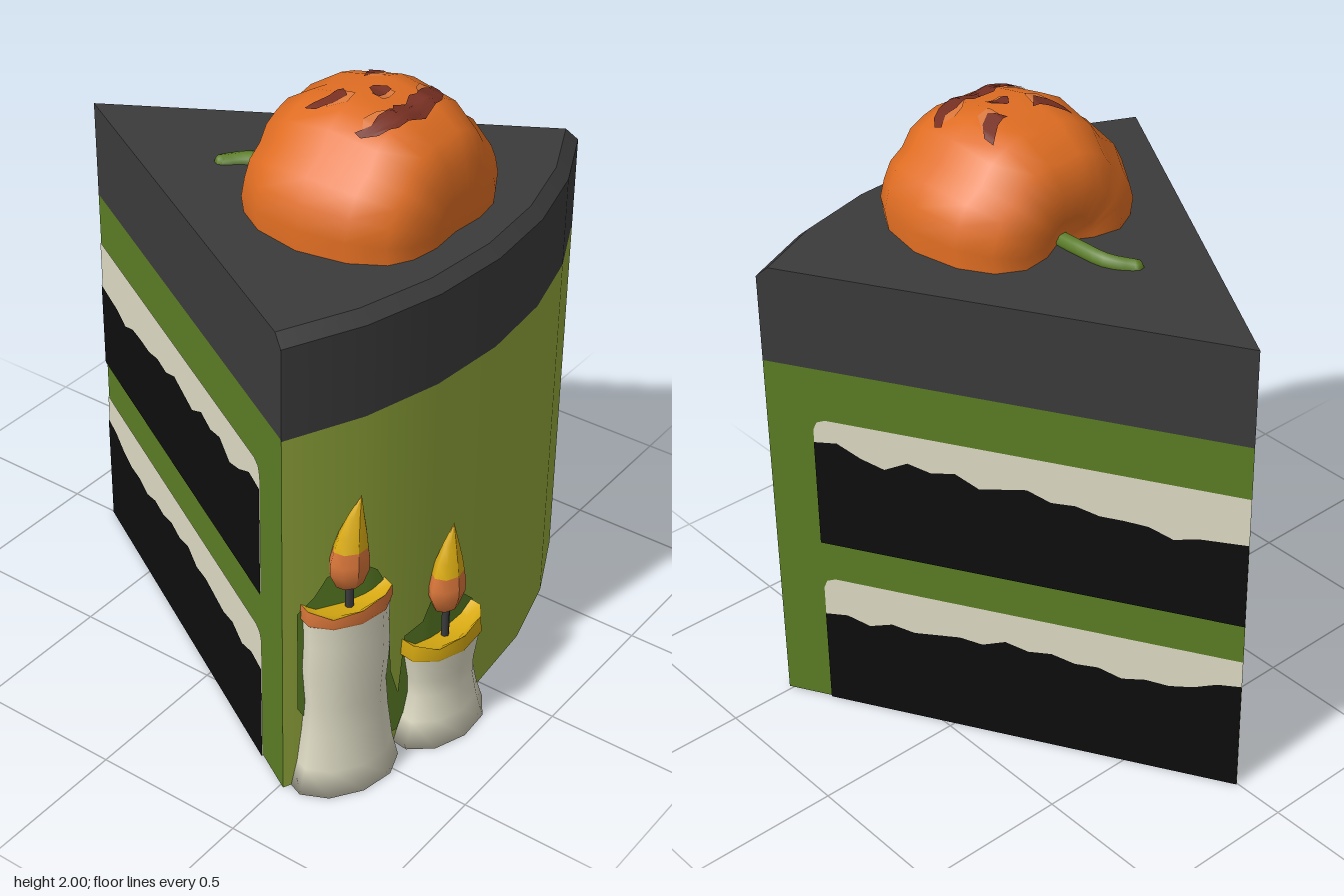
import * as THREE from 'three';
import { mergeVertices } from 'three/addons/utils/BufferGeometryUtils.js';

const mat = (name, color) => {
  const m = new THREE.MeshStandardMaterial({ color });
  m.name = name;
  return m;
};

export function createModel() {
  const M = {
    frosting: mat('charcoal frosting', 0x3b3b3b),
    lime: mat('lime icing', 0x90a63a),
    green: mat('leaf green', 0x5a7d24),
    cream: mat('cream', 0xdedbc4),
    black: mat('black sponge', 0x0d0d0d),
    orange: mat('pumpkin orange', 0xdf6d22),
    brown: mat('carved brown', 0x762f22),
    yellow: mat('flame yellow', 0xd9ab12),
    ember: mat('flame orange', 0xd9763a),
  };
  const root = new THREE.Group();
  root.name = 'cakeSlice';
  const add = (parent, name, geo, material, x = 0, y = 0, z = 0) => {
    const mesh = new THREE.Mesh(geo, material);
    mesh.name = name;
    mesh.position.set(x, y, z);
    parent.add(mesh);
    return mesh;
  };
  const V = (pts) => pts.map(([x, y]) => new THREE.Vector2(x, y));
  const polygon = (pts) => new THREE.ShapeGeometry(new THREE.Shape(V(pts)));

  // Wedge: a 60 degree sector of six facets with its point at the back
  const APEX = -0.82, R = 1.54, ARC = Math.PI / 3;
  const wall = (rTop, rBottom, y0, y1, name, material) => add(root, name,
    new THREE.CylinderGeometry(rTop, rBottom, y1 - y0, 6, 1, true, -ARC / 2, ARC),
    material, 0, (y0 + y1) / 2, APEX);
  wall(R, R, 0, 1.28, 'outerIcing', M.lime);
  wall(R, R, 1.28, 1.58, 'frostingEdge', M.frosting);
  wall(1.5, R, 1.58, 1.615, 'frostingBevel', M.frosting);
  const sector = (r) => new THREE.CircleGeometry(r, 6, Math.PI / 3, ARC);
  add(root, 'frostingTop', sector(1.5).rotateX(-Math.PI / 2).rotateY(Math.PI), M.frosting, 0, 1.615, APEX);
  add(root, 'cakeBottom', sector(R).rotateX(Math.PI / 2), M.frosting, 0, 0, APEX);

  // Cut faces, drawn as distance from the point against height
  const END = 1.386;
  const wavy = (bottom, heights) => [[0, bottom], [END, bottom],
    ...heights.map((h, i) => [END * (1 - i / (heights.length - 1)), h])];
  const rounded = (y0, y1) => [[0, y0], [END, y0], [END, y1 - 0.04],
    [END - 0.012, y1 - 0.012], [END - 0.04, y1], [0, y1]];
  const layers = [
    ['cutIcing', M.green, 0, [[0, 0], [R, 0], [R, 1.285], [0, 1.285]]],
    ['cutFrosting', M.frosting, 0, [[0, 1.285], [R, 1.285], [R, 1.58], [1.5, 1.615], [0, 1.615]]],
    ['upperCream', M.cream, 0.003, rounded(0.64, 1.105)],
    ['lowerCream', M.cream, 0.003, rounded(0, 0.495)],
    ['upperSponge', M.black, 0.006, wavy(0.635, [1.02, 1.03, 0.99, 0.965, 1.005, 0.985, 1.0, 0.96,
      0.975, 0.99, 0.96, 0.965, 0.945, 0.945, 0.94, 0.91, 0.93, 0.935, 0.94])],
    ['lowerSponge', M.black, 0.006, wavy(0, [0.35, 0.36, 0.335, 0.36, 0.345, 0.355, 0.365, 0.355,
      0.385, 0.365, 0.375, 0.355, 0.36, 0.335, 0.35, 0.345, 0.36, 0.39, 0.4])],
  ];
  for (const s of [1, -1]) {
    const side = new THREE.Group();
    side.name = s > 0 ? 'rightCut' : 'leftCut';
    side.position.z = APEX;
    side.rotation.y = -s * Math.PI * 2 / 3;
    for (const [name, material, lift, pts] of layers)
      add(side, name, polygon(pts.map(([d, y]) => [s * d, y])), material, 0, 0, lift);
    root.add(side);
  }

  // Dark green patches on the icing behind the candles: x, bottom, top
  const arcZ = (x) => {
    const step = ARC / 6, a = Math.asin(x / R), k = Math.floor(a / step);
    const x0 = R * Math.sin(k * step), x1 = R * Math.sin((k + 1) * step);
    const z0 = R * Math.cos(k * step), z1 = R * Math.cos((k + 1) * step);
    return APEX + z0 + (z1 - z0) * (x - x0) / (x1 - x0) + 0.006;
  };
  const columns = [[-0.73, 0.3, 0.66], [-0.68, 0.2, 0.7], [-0.64, 0.2, 0.76], [-0.527, 0.1, 0.76],
    [-0.48, 0.05, 0.72], [-0.44, 0.05, 0.64], [-0.42, 0.05, 0.3], [-0.39, 0.05, 0.2], [-0.37, 0.1, 0.41],
    [-0.3, 0.1, 0.43], [-0.267, 0.1, 0.5], [-0.15, 0.1, 0.5], [-0.12, 0.15, 0.44], [-0.06, 0.25, 0.38]];
  const patch = new THREE.PlaneGeometry(1, 1, columns.length - 1, 1);
  columns.forEach(([x, y0, y1], i) => {
    patch.attributes.position.setXYZ(i, x, y1, arcZ(x));
    patch.attributes.position.setXYZ(i + columns.length, x, y0, arcZ(x));
  });
  patch.computeVertexNormals();
  add(root, 'candleBackdrop', patch, M.green);

  // Candles half sunk into the curved icing
  const lathe = (pts, n = 10) => new THREE.LatheGeometry(V(pts), n);
  const candle = (name, x, body, top, rimHeight, rimMat, flameY, lean) => {
    const g = new THREE.Group();
    g.name = name;
    const a = Math.asin(x / R);
    g.position.set(x, 0, APEX + R * Math.cos(a));
    g.rotation.y = a;
    const wax = new THREE.Group();
    wax.name = 'wax';
    wax.scale.z = 0.66;
    g.add(wax);
    const rt = body[body.length - 1][0], rimTop = top + rimHeight;
    add(wax, 'body', lathe([[0, 0], ...body]), M.cream);
    const uneven = (geo) => {
      const p = geo.attributes.position;
      for (let i = 0; i < p.count; i++)
        if (p.getY(i) > rimTop - 0.001)
          p.setY(i, rimTop + 0.012 * Math.sin(3 * Math.atan2(p.getX(i), p.getZ(i))));
      return geo;
    };
    add(wax, 'rim', uneven(lathe([[rt, top - 0.01], [rt + 0.008, top], [rt + 0.004, rimTop]])), rimMat);
    add(wax, 'meltedPool', uneven(lathe([[rt + 0.004, rimTop], [rt * 0.7, top + 0.015], [0, top + 0.005]])), M.yellow);
    // Wick and leaning flame
    add(g, 'wick', new THREE.CylinderGeometry(0.013, 0.013, flameY - top + 0.03, 6), M.frosting,
      0, (top + flameY + 0.03) / 2, 0.025);
    const flame = (part, pts, material) => {
      const geo = lathe(pts, 8);
      const p = geo.attributes.position;
      for (let i = 0; i < p.count; i++) {
        const t = p.getY(i) / 0.31;
        p.setX(i, p.getX(i) + lean * (t * t * 1.6 - t * 0.6));
      }
      geo.computeVertexNormals();
      add(g, part, geo, material, 0, flameY, 0.025).scale.z = 0.75;
    };
    flame('flameBase', [[0, 0], [0.045, 0.015], [0.066, 0.065], [0.067, 0.1], [0.058, 0.145]], M.ember);
    flame('flameTip', [[0.058, 0.145], [0.047, 0.19], [0.026, 0.25], [0, 0.315]], M.yellow);
    root.add(g);
  };
  candle('tallCandle', -0.585, [[0.187, 0], [0.165, 0.09], [0.148, 0.22], [0.14, 0.32], [0.15, 0.45],
    [0.145, 0.55], [0.148, 0.64]], 0.64, 0.04, M.ember, 0.72, 0.035);
  candle('shortCandle', -0.222, [[0.188, 0], [0.158, 0.09], [0.138, 0.18], [0.14, 0.24], [0.158, 0.34]],
    0.34, 0.05, M.yellow, 0.45, 0.02);

  // Pumpkin on its back: eight lobes with narrow grooves, stem to the rear
  const pumpkin = new THREE.Group();
  pumpkin.name = 'pumpkin';
  root.add(pumpkin);
  const CY = 1.615;
  let skin = lathe([[0, 0.02], [0.1, -0.03], [0.2, -0.045], [0.29, 0], [0.355, 0.1], [0.388, 0.26],
    [0.358, 0.42], [0.295, 0.52], [0.22, 0.56], [0.12, 0.575], [0, 0.565]], 32);
  const sp = skin.attributes.position;
  for (let i = 0; i < sp.count; i++) {
    const step = Math.round(Math.atan2(sp.getX(i), sp.getZ(i)) / (Math.PI / 16));
    const k = step % 4 === 0 ? 0.945 : 1;
    sp.setXYZ(i, sp.getX(i) * k, sp.getY(i), sp.getZ(i) * k);
  }
  skin.rotateX(Math.PI / 2).translate(0, CY, 0);
  skin.deleteAttribute('uv');
  skin.deleteAttribute('normal');
  skin = mergeVertices(skin);
  skin.computeVertexNormals();
  const shell = add(pumpkin, 'pumpkinShell', skin, M.orange);

  const stemPath = new THREE.CatmullRomCurve3([[0, 1.625, 0.04], [0, 1.628, -0.08], [-0.015, 1.622, -0.18],
    [-0.065, 1.612, -0.245]].map((p) => new THREE.Vector3(...p)));
  add(pumpkin, 'stem', new THREE.TubeGeometry(stemPath, 10, 0.027, 7), M.green);
  add(pumpkin, 'stemTip', new THREE.SphereGeometry(0.027, 7, 4), M.green, -0.065, 1.612, -0.245);

  // Carved face: flat x-z outlines, subdivided and draped over the shell
  const ray = new THREE.Raycaster();
  const down = new THREE.Vector3(0, -1, 0);
  const drape = (name, pts, material, lift) => {
    const flat = polygon(pts.map(([x, z]) => [x, -z])).toNonIndexed().attributes.position;
    const out = [];
    const split = (a, b, c, depth) => {
      if (!depth) return [a, b, c].forEach((v) => {
        ray.set(new THREE.Vector3(v.x, 3, -v.y), down);
        const hit = ray.intersectObject(shell)[0];
        out.push(v.x, (hit ? hit.point.y : CY) + lift, -v.y);
      });
      const mid = (p, q) => p.clone().lerp(q, 0.5);
      const ab = mid(a, b), bc = mid(b, c), ca = mid(c, a);
      [[a, ab, ca], [ab, b, bc], [ca, bc, c], [ab, bc, ca]].forEach((t) => split(...t, depth - 1));
    };
    const at = (i) => new THREE.Vector3().fromBufferAttribute(flat, i);
    for (let i = 0; i < flat.count; i += 3) split(at(i), at(i + 1), at(i + 2), 3);
    let geo = new THREE.BufferGeometry();
    geo.setAttribute('position', new THREE.Float32BufferAttribute(out, 3));
    geo = mergeVertices(geo);
    geo.computeVertexNormals();
    add(pumpkin, name, geo, material);
  };
  for (const s of [-1, 1]) {
    const flip = (pts) => pts.map(([x, z]) => [s * x, z]);
    const label = s > 0 ? 'left' : 'right';
    drape(label + 'EyeRim', flip([[0.145, 0.2], [0.06, 0.2], [0.07, 0.255], [0.115, 0.255]]), M.ember, 0.003);
    drape(label + 'Eye', flip([[0.157, 0.135], [0.158, 0.175], [0.13, 0.215], [0.09, 0.238], [0.075, 0.22],
      [0.05, 0.195], [0.1, 0.18]]), M.brown, 0.006);
    drape(label + 'MouthRim', flip([[0.19, 0.36], [0.14, 0.33], [0.1, 0.345], [0.05, 0.39], [0.15, 0.4]]), M.ember, 0.003);
  }
  drape('noseRim', [[-0.03, 0.28], [0.03, 0.28], [0.03, 0.322], [-0.03, 0.322]], M.ember, 0.003);
  drape('nose', [[-0.008, 0.255], [0.008, 0.255], [0.033, 0.29], [0.03, 0.308], [-0.03, 0.308], [-0.033, 0.29]],
    M.brown, 0.006);
  const half = [[0.04, 0.362], [0.06, 0.375], [0.11, 0.36], [0.15, 0.365], [0.19, 0.335], [0.195, 0.36],
    [0.165, 0.4], [0.11, 0.43]];
  drape('mouth', [[0, 0.378], ...half, [0, 0.448], ...half.map(([x, z]) => [-x, z]).reverse()], M.brown, 0.006);

  return root;
}
